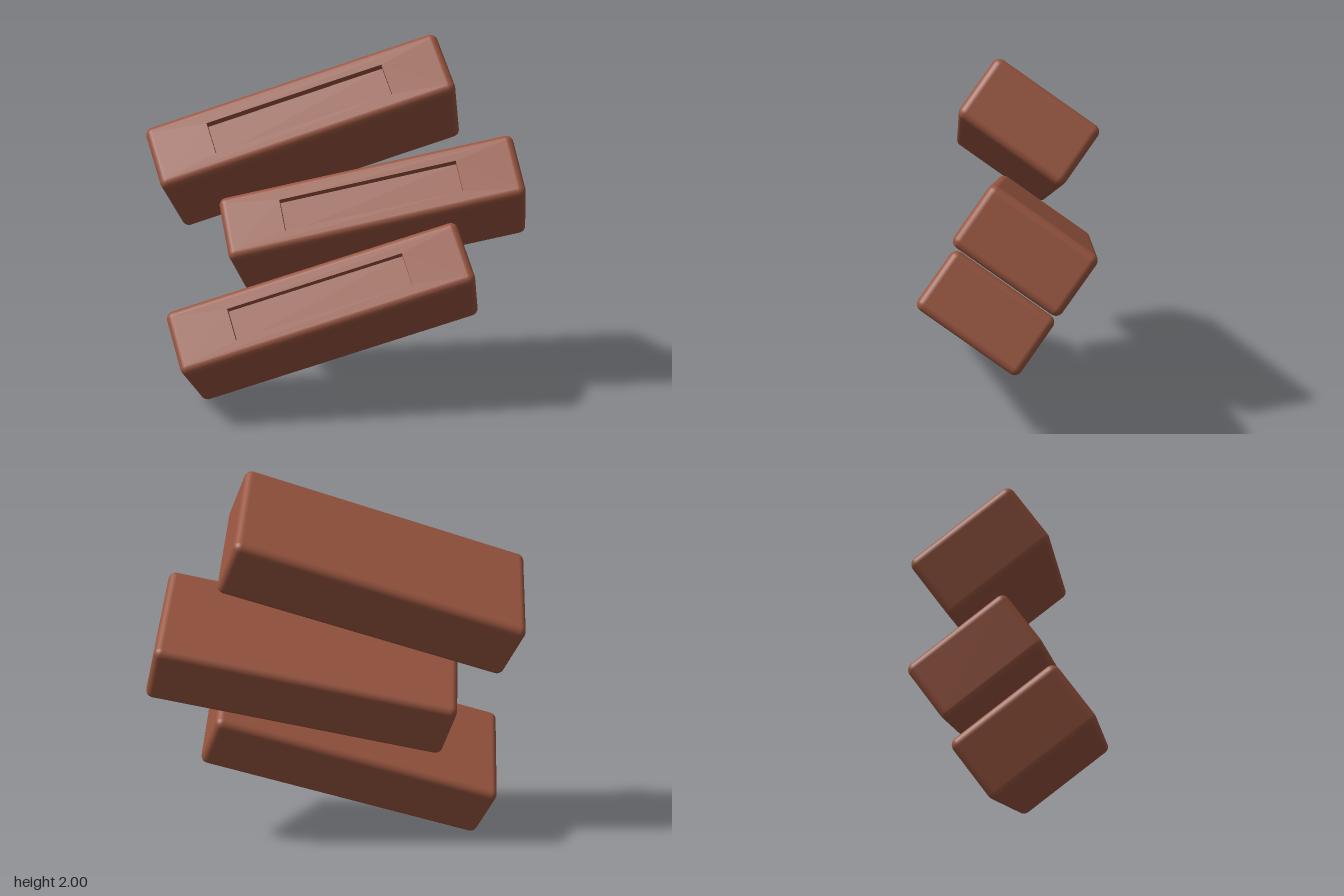
import * as THREE from 'three';
import { RoundedBoxGeometry } from 'three/addons/geometries/RoundedBoxGeometry.js';

const LENGTH = 1.59, HEIGHT = 0.355, DEPTH = 0.63, RADIUS = 0.04;
const SLOT = { length: 0.95, height: 0.175, depth: 0.05 };

// Rounded block whose flat front panel is left open for the recessed face
function bodyGeometry() {
  const box = new RoundedBoxGeometry(LENGTH, HEIGHT, DEPTH, 4, RADIUS);
  const source = box.index ? box.toNonIndexed() : box;
  const p = source.attributes.position, n = source.attributes.normal;
  const positions = [], normals = [];
  for (let i = 0; i < p.count; i += 3) {
    const corners = [i, i + 1, i + 2];
    if (corners.every((k) => p.getZ(k) > DEPTH / 2 - 1e-4)) continue;
    for (const k of corners) {
      positions.push(p.getX(k), p.getY(k), p.getZ(k));
      normals.push(n.getX(k), n.getY(k), n.getZ(k));
    }
  }
  const g = new THREE.BufferGeometry();
  g.setAttribute('position', new THREE.Float32BufferAttribute(positions, 3));
  g.setAttribute('normal', new THREE.Float32BufferAttribute(normals, 3));
  return g;
}

function rectangle(path, w, h) {
  path.moveTo(-w / 2, -h / 2);
  path.lineTo(w / 2, -h / 2);
  path.lineTo(w / 2, h / 2);
  path.lineTo(-w / 2, h / 2);
  path.closePath();
  return path;
}

// Front panel with a rectangular opening and its side walls
function faceGeometry() {
  const shape = rectangle(new THREE.Shape(), LENGTH - 2 * RADIUS, HEIGHT - 2 * RADIUS);
  shape.holes.push(rectangle(new THREE.Path(), SLOT.length, SLOT.height));
  const g = new THREE.ExtrudeGeometry(shape, { depth: SLOT.depth, bevelEnabled: false });
  return g.translate(0, 0, DEPTH / 2 - SLOT.depth);
}

export function createModel() {
  const model = new THREE.Group();
  model.name = 'brickPile';
  const clay = new THREE.MeshStandardMaterial({ color: 0x98553f });
  clay.name = 'redClay';

  const parts = {
    body: bodyGeometry(),
    recessedFace: faceGeometry(),
    recessFloor: new THREE.PlaneGeometry(SLOT.length, SLOT.height)
      .translate(0, 0, DEPTH / 2 - SLOT.depth),
  };

  // All bricks share the facing direction and differ in place and lengthwise axis
  const facing = new THREE.Vector3(0.345, 0.557, 0.756).normalize();
  const bricks = [
    { name: 'bottomBrick', centre: [0.033, 0.525, 0.168], along: [1.22, 0.468, -0.9] },
    { name: 'middleBrick', centre: [0.128, 1.0, -0.185], along: [1.29, 0.345, -0.84] },
    { name: 'topBrick', centre: [-0.163, 1.47, 0.05], along: [1.195, 0.482, -0.905] },
  ];
  for (const { name, centre, along } of bricks) {
    const brick = new THREE.Group();
    brick.name = name;
    const lengthwise = new THREE.Vector3(...along).projectOnPlane(facing).normalize();
    const upward = facing.clone().cross(lengthwise);
    brick.quaternion.setFromRotationMatrix(
      new THREE.Matrix4().makeBasis(lengthwise, upward, facing));
    brick.position.set(...centre);
    for (const [part, geometry] of Object.entries(parts)) {
      const mesh = new THREE.Mesh(geometry, clay);
      mesh.name = part;
      brick.add(mesh);
    }
    model.add(brick);
  }
  return model;
}
